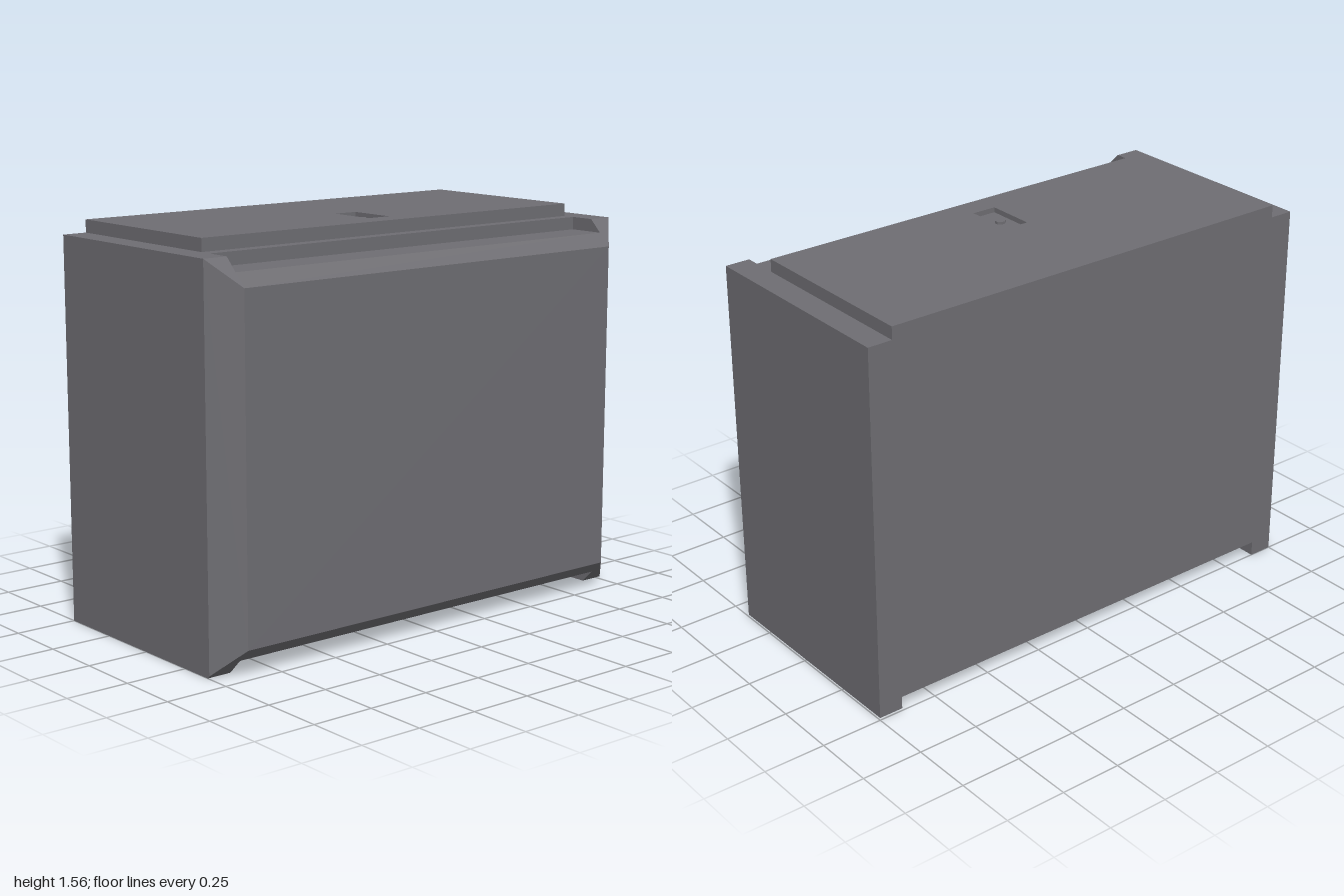
import * as THREE from 'three';
import { ConvexGeometry } from 'three/addons/geometries/ConvexGeometry.js';

const TOP = 1.51, BACK = -0.5, FRONT = 0.5, BEVEL = 0.1;
const INNER = 0.9, OUTER = 1;

function shapeFrom(points) {
  return new THREE.Shape(points.map(([x, y]) => new THREE.Vector2(x, y)));
}

export function createModel() {
  const group = new THREE.Group();
  const material = new THREE.MeshStandardMaterial({ color: 0x6e6d72, flatShading: true });
  const add = (name, geometry) => {
    const mesh = new THREE.Mesh(geometry, material);
    mesh.name = name;
    group.add(mesh);
    return mesh;
  };

  // Middle of the casing: (z, y) profile with raised underside and front groove
  const profile = shapeFrom([
    [BACK, 0.06], [0.45, 0.06], [FRONT, 0.11], [FRONT, TOP - BEVEL],
    [0.45, 1.46], [0.3, 1.46], [0.3, TOP], [BACK, TOP],
  ]);
  const middle = new THREE.ExtrudeGeometry(profile, { depth: 2 * INNER, bevelEnabled: false });
  middle.rotateY(-Math.PI / 2).translate(INNER, 0, 0);
  add('casingMiddle', middle);

  // End panels with mitred front bevels; the right one reaches slightly lower
  for (const [name, side, bottom] of [['leftEndPanel', 1, 0.01], ['rightEndPanel', -1, 0]]) {
    const toeZ = 0.39 + bottom;
    const points = [
      [INNER, bottom, BACK], [INNER, bottom, toeZ], [INNER, 0.11, FRONT],
      [INNER, TOP - BEVEL, FRONT], [INNER, TOP, FRONT - BEVEL], [INNER, TOP, BACK],
      [OUTER, bottom, BACK], [OUTER, bottom, toeZ],
      [OUTER, TOP, FRONT - BEVEL], [OUTER, TOP, BACK],
    ];
    if (bottom < 0.01) points.push([OUTER, 0.01, FRONT - BEVEL]);
    add(name, new ConvexGeometry(points.map(([x, y, z]) => new THREE.Vector3(side * x, y, z))));
  }

  // Raised lid with a rectangular slot, drawn in (x, -z)
  const lid = shapeFrom([[-INNER, -0.25], [INNER, -0.25], [INNER, -BACK], [-INNER, -BACK]]);
  lid.holes.push(shapeFrom([[-0.05, -0.15], [-0.05, 0.05], [0.05, 0.05], [0.05, -0.15]]));
  const lidGeometry = new THREE.ExtrudeGeometry(lid, { depth: 0.05, bevelEnabled: false });
  lidGeometry.rotateX(-Math.PI / 2).translate(0, TOP, 0);
  add('lid', lidGeometry);

  // Slot floor and its small button
  add('slotFloor', new THREE.BoxGeometry(0.1, 0.03, 0.2)).position.set(0, TOP + 0.015, 0.05);
  add('button', new THREE.CylinderGeometry(0.02, 0.02, 0.01, 8).rotateY(Math.PI / 8))
    .position.set(0, TOP + 0.035, 0.05);

  return group;
}
